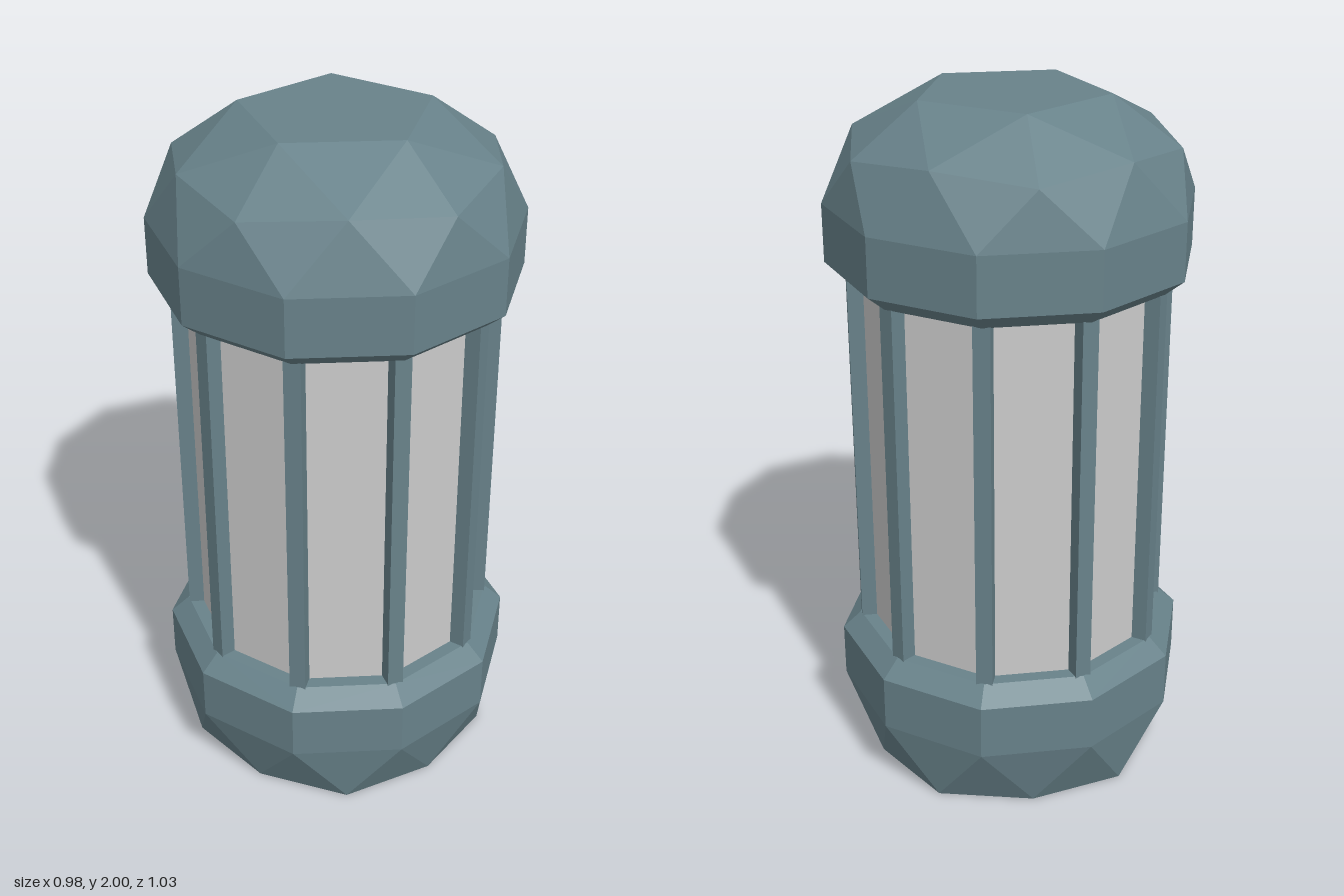
import * as THREE from 'three';
import { ConvexGeometry } from 'three/addons/geometries/ConvexGeometry.js';

const SIDES = 10;
const R = 0.517;      // outer radius of the caps
const LIP = 0.463;    // radius of the chamfered lip
const RAD = Math.PI / 180;

// Ring of n points; the radius and height may depend on the index
function ring(n, startDeg, radius, height) {
  return Array.from({ length: n }, (_, i) => {
    const a = (startDeg + (i * 360) / n) * RAD;
    const r = typeof radius === 'function' ? radius(i) : radius;
    const y = typeof height === 'function' ? height(i) : height;
    return new THREE.Vector3(Math.cos(a) * r, y, Math.sin(a) * r);
  });
}

export function createModel() {
  const group = new THREE.Group();
  const metal = new THREE.MeshStandardMaterial({ color: 0x68828a, flatShading: true });
  const glass = new THREE.MeshStandardMaterial({ color: 0xcccccc, flatShading: true });

  function add(name, geometry, material, parent = group) {
    const mesh = new THREE.Mesh(geometry, material);
    mesh.name = name;
    parent.add(mesh);
    return mesh;
  }

  // Ring of a faceted dome: alternating corner and edge-midpoint radii
  const cornerR = 0.894 * R, midR = 0.851 * R;

  // Top cap: chamfered collar under a flattened geodesic half dome
  add('topCap', new ConvexGeometry([
    ...ring(SIDES, 18, LIP, 1.5),
    ...ring(SIDES, 18, R, 1.545),
    ...ring(SIDES, 18, R, 1.71),
    ...ring(SIDES, 0, (i) => (i % 2 ? midR : cornerR), (i) => (i % 2 ? 1.889 : 1.862)),
    ...ring(5, 0, 0.526 * R, 2),
  ]), metal);

  // Bottom cap: the dome turned over and cut flat for standing
  add('bottomCap', new ConvexGeometry([
    ...ring(SIDES, 0, (i) => (i % 2 ? cornerR : midR), 0),
    ...ring(SIDES, 18, R, 0.208),
    ...ring(SIDES, 18, R, 0.37),
    ...ring(SIDES, 18, LIP, 0.42),
  ]), metal);

  // Glass core with ten flat panes, corners aligned with the bars
  const core = new THREE.CylinderGeometry(0.423, 0.423, 1.1, SIDES, 1, true);
  core.rotateY(18 * RAD - Math.PI / 2);
  core.translate(0, 0.96, 0);
  add('glassPanes', core, glass);

  // Upright bars over the pane corners
  const bars = new THREE.Group();
  bars.name = 'bars';
  group.add(bars);
  const barGeometry = new THREE.BoxGeometry(0.06, 1.1, 0.047);
  for (let i = 0; i < SIDES; i++) {
    const a = (18 + i * 36) * RAD;
    const bar = add('bar', barGeometry, metal, bars);
    bar.position.set(Math.cos(a) * 0.43, 0.96, Math.sin(a) * 0.43);
    bar.rotation.y = -a;
  }
  return group;
}
